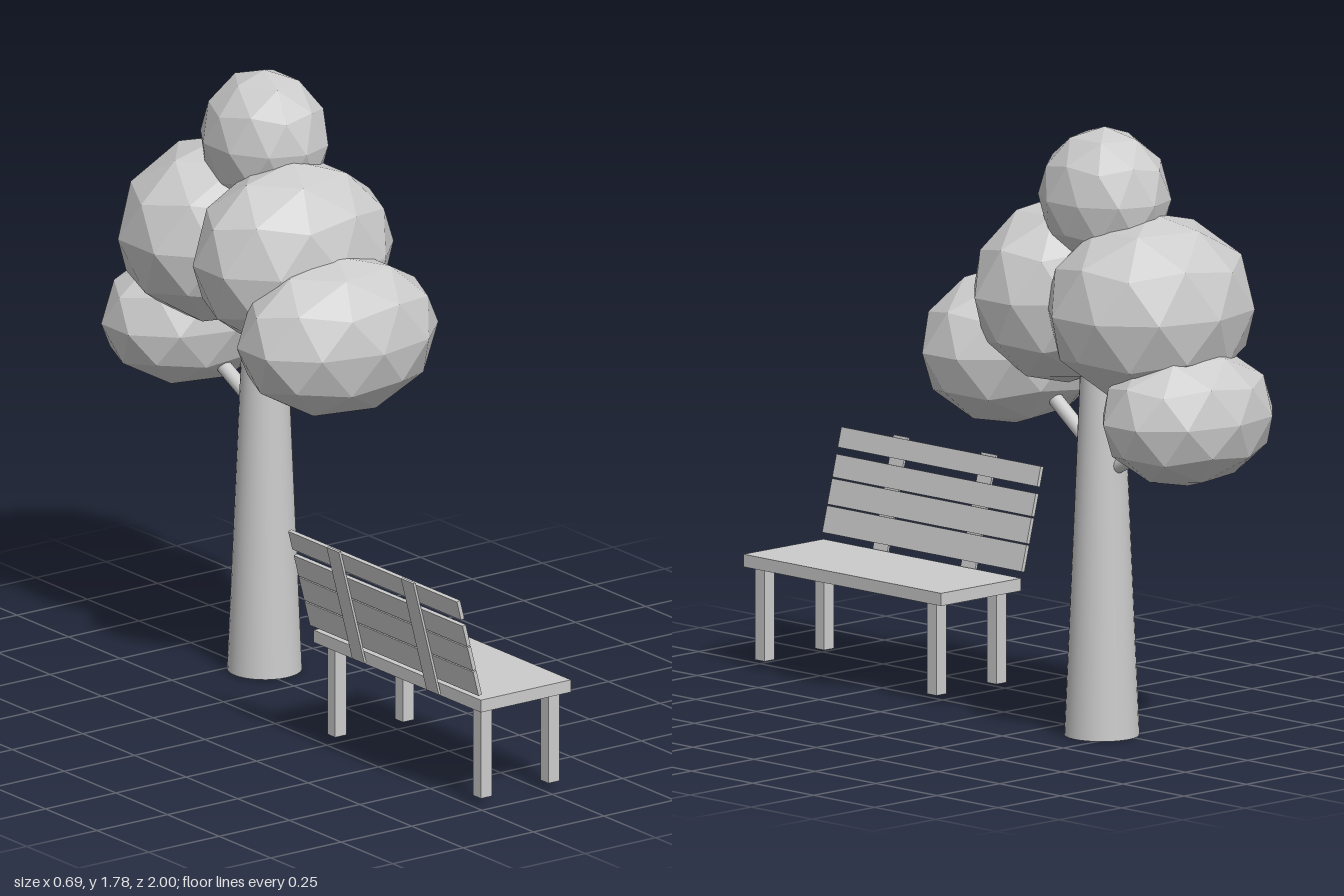
import * as THREE from 'three';

const material = new THREE.MeshStandardMaterial({ color: 0xcccccc });
const facetedMaterial = new THREE.MeshStandardMaterial({ color: 0xcccccc, flatShading: true });

function addMesh(parent, name, geometry, position, mat = material) {
  const mesh = new THREE.Mesh(geometry, mat);
  mesh.name = name;
  mesh.position.set(...position);
  parent.add(mesh);
  return mesh;
}

// Box given by its [min, max] range on each axis
function addBox(parent, name, x, y, z) {
  const size = [x, y, z].map(([a, b]) => b - a);
  const centre = [x, y, z].map(([a, b]) => (a + b) / 2);
  return addMesh(parent, name, new THREE.BoxGeometry(...size), centre);
}

// Straight round limb between two points
function addBranch(parent, name, from, to, radius) {
  const a = new THREE.Vector3(...from), b = new THREE.Vector3(...to);
  const dir = b.clone().sub(a);
  const mesh = addMesh(parent, name, new THREE.CylinderGeometry(radius, radius, dir.length(), 16),
    a.add(b).multiplyScalar(0.5).toArray());
  mesh.quaternion.setFromUnitVectors(new THREE.Vector3(0, 1, 0), dir.normalize());
}

function createTree() {
  const tree = new THREE.Group();
  tree.name = 'tree';
  const x = 0.03;

  addMesh(tree, 'trunk', new THREE.CylinderGeometry(0.063, 0.108, 1.05, 32), [x, 0.525, -0.433]);
  addBranch(tree, 'frontBranch', [x, 0.81, -0.43], [x, 1.0, -0.18], 0.022);
  addBranch(tree, 'backBranch', [x, 0.76, -0.43], [x, 0.93, -0.78], 0.022);

  // Leaf clumps: squashed low-poly balls with a vertex at the top
  const ball = new THREE.IcosahedronGeometry(1, 1).rotateZ(Math.atan(2 / (1 + Math.sqrt(5))));
  const clumps = [
    ['topLeaves', [0.06, 1.58, -0.475], [0.18, 0.205, 0.205]],
    ['frontUpperLeaves', [x, 1.285, -0.295], [0.318, 0.277, 0.24]],
    ['backUpperLeaves', [x, 1.275, -0.633], [0.326, 0.275, 0.285]],
    ['frontLowerLeaves', [x, 1.095, -0.08], [0.322, 0.235, 0.228]],
    ['backLowerLeaves', [x, 0.98, -0.785], [0.288, 0.205, 0.215]],
  ];
  for (const [name, position, radii] of clumps) {
    addMesh(tree, name, ball, position, facetedMaterial).scale.set(...radii);
  }
  return tree;
}

function createBench() {
  const bench = new THREE.Group();
  bench.name = 'bench';

  addBox(bench, 'seat', [-0.25, 0.07], [0.293, 0.33], [0.185, 0.995]);
  for (const x of [[-0.23, -0.19], [0.01, 0.05]]) {
    for (const z of [[0.225, 0.263], [0.93, 0.968]]) addBox(bench, 'leg', x, [0.023, 0.293], z);
  }

  // Backrest leaning away from the seat
  const back = new THREE.Group();
  back.name = 'backrest';
  back.position.set(-0.252, 0.297, 0);
  back.rotation.z = THREE.MathUtils.degToRad(14.5);
  bench.add(back);
  for (const y of [[0.05, 0.128], [0.132, 0.207], [0.211, 0.278], [0.298, 0.357]]) {
    addBox(back, 'slat', [0.003, 0.015], y, [0.183, 1.0]);
  }
  for (const z of [[0.38, 0.44], [0.74, 0.8]]) {
    addBox(back, 'backPost', [-0.004, 0.003], [0, 0.364], z);
  }
  return bench;
}

export function createModel() {
  const model = new THREE.Group();
  model.name = 'treeAndBench';
  model.add(createTree(), createBench());
  return model;
}
